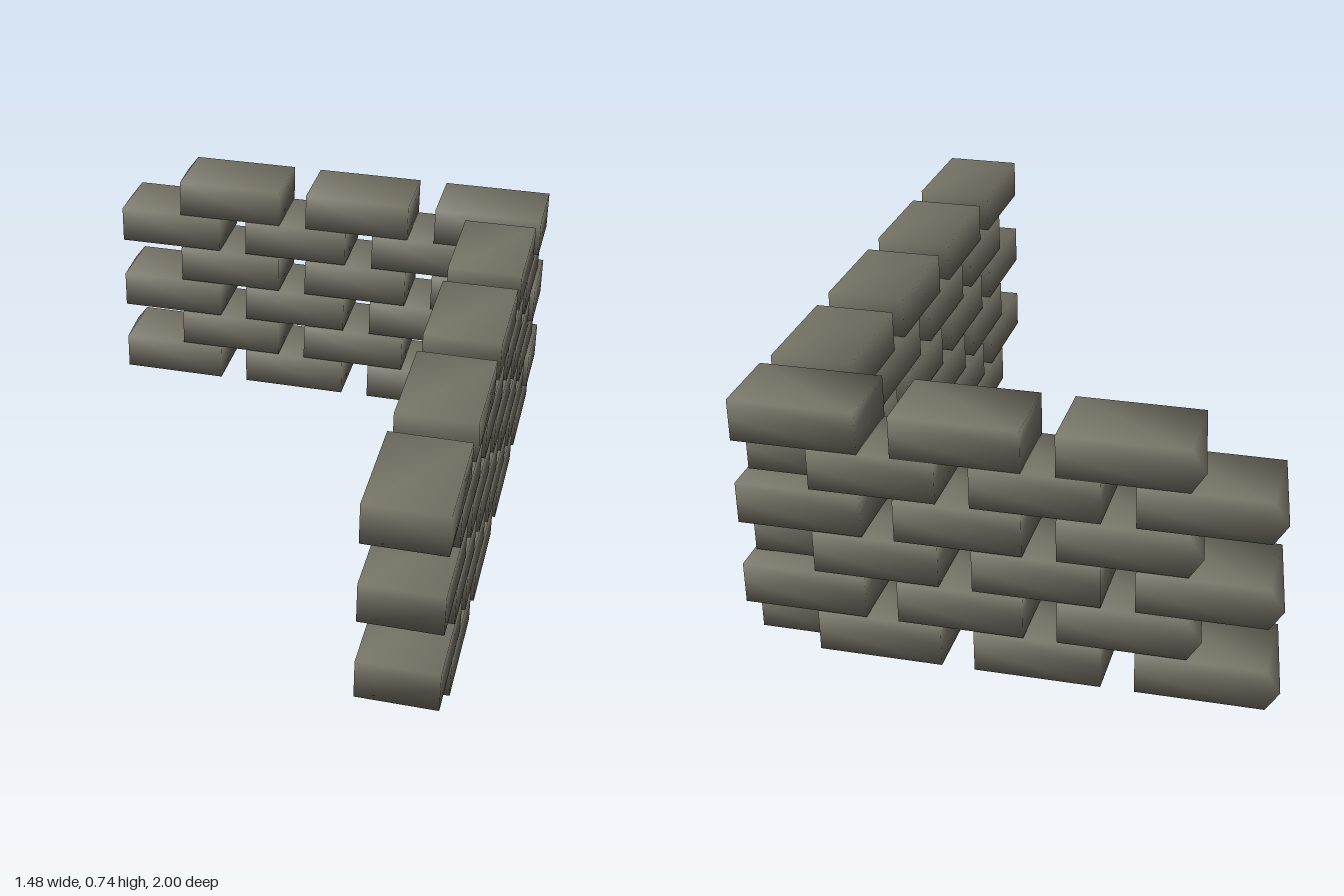
import * as THREE from 'three';

const STONE_HEIGHT = 0.12;
const ROW_Y = [0.003, 0.127, 0.254, 0.379, 0.507, 0.627];
const TIP = 0.04, BULGE = 0.01;

// A smooth-shaded stone running along x; its outer (+z) face has a middle edge
// whose ends can be pulled out into a point.
function stoneGeometry(a, b, inner, outer, tipA, tipB) {
  const h = STONE_HEIGHT;
  const ring = (x, dir, tip) => [
    x, 0, inner,
    x, h, inner,
    x, h, outer,
    x + (tip ? dir * TIP : 0), h * 0.55, outer + (tip ? BULGE : 0),
    x, 0, outer,
  ];
  const positions = [...ring(a, -1, tipA), ...ring(b, 1, tipB)];
  const index = [];
  for (let i = 0; i < 5; i++) {
    const j = (i + 1) % 5;
    index.push(i, j, j + 5, i, j + 5, i + 5);
  }
  // end faces fan out from the middle of the outer edge
  for (const [p, q] of [[4, 0], [0, 1], [1, 2]]) {
    index.push(8, p + 5, q + 5, 3, q, p);
  }
  const geometry = new THREE.BufferGeometry();
  geometry.setAttribute('position', new THREE.Float32BufferAttribute(positions, 3));
  geometry.setIndex(index);
  geometry.computeVertexNormals();
  return geometry;
}

export function createModel() {
  const model = new THREE.Group();
  model.name = 'cornerWall';
  const stone = new THREE.MeshStandardMaterial({ color: 0x757265 });
  stone.name = 'stone';

  const backWall = new THREE.Group();
  backWall.name = 'backWall';
  backWall.rotation.y = Math.PI; // stone x -> -x, outer face -> -z
  const sideWall = new THREE.Group();
  sideWall.name = 'sideWall';
  sideWall.rotation.y = Math.PI / 2; // stone x -> -z, outer face -> +x
  model.add(backWall, sideWall);

  const addStone = (wall, name, y, geometry) => {
    const mesh = new THREE.Mesh(geometry, stone);
    mesh.name = name;
    mesh.position.y = y;
    wall.add(mesh);
  };

  // alternate rows are shifted by half a stone
  const backStarts = [[-0.70, -0.26, 0.18], [-0.49, -0.05, 0.388]];
  const sideStarts = [[0.40, -0.04, -0.485, -0.92], [0.61, 0.17, -0.275, -0.715]];
  const length = 0.348;

  ROW_Y.forEach((y, row) => {
    backStarts[row % 2].forEach((x, i) => {
      // the free end of every row is pointed
      addStone(backWall, 'backStone', y,
        stoneGeometry(-x - length, -x, 0.765, 0.99, false, i === 0));
    });
    sideStarts[row % 2].forEach((z, i) => {
      // only the first two stones of the top row are pointed
      const pointed = row === 5 && i < 2;
      addStone(sideWall, 'sideStone', y,
        stoneGeometry(-z - length, -z, 0.495, 0.725, pointed, false));
    });
  });

  return model;
}
